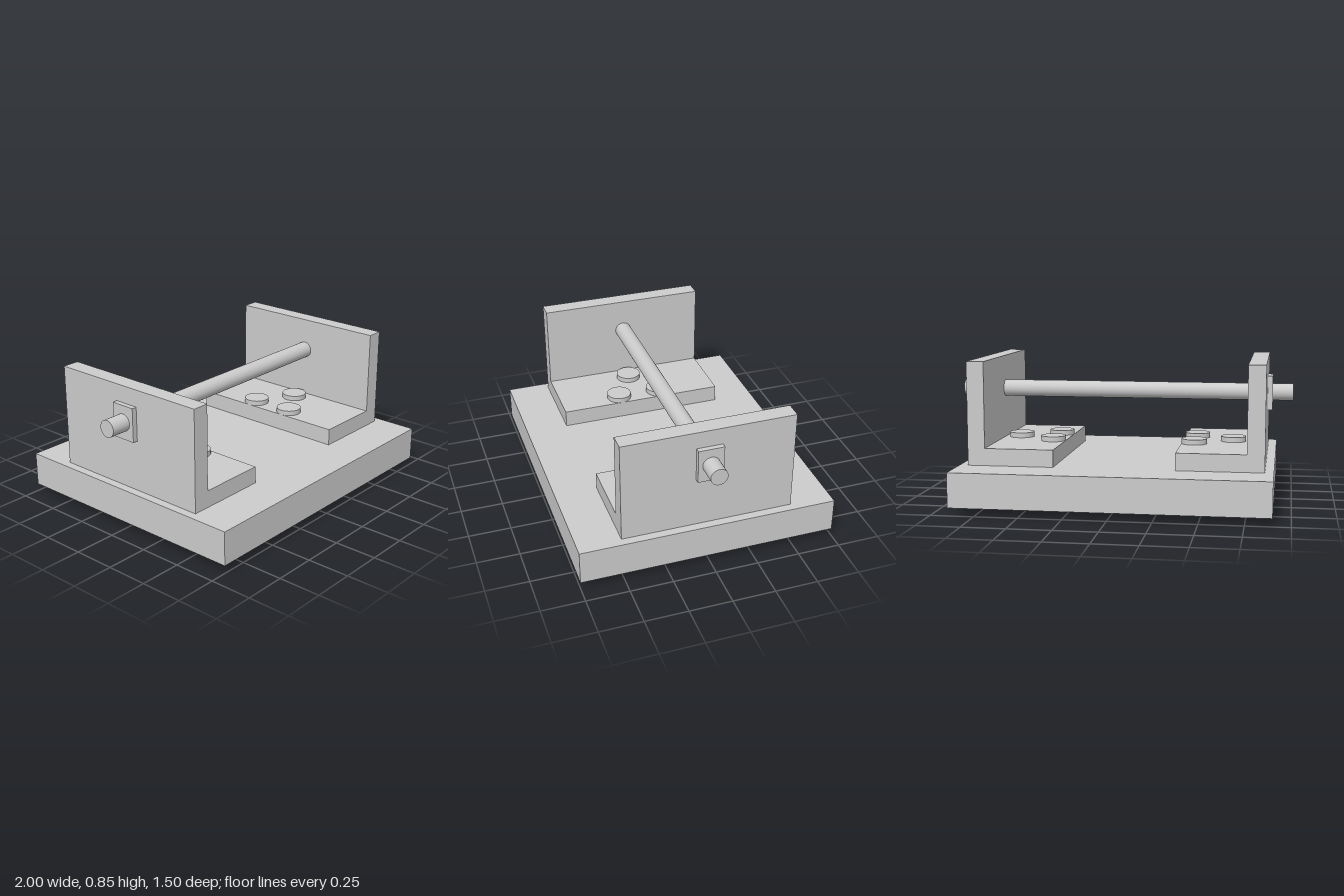
import * as THREE from 'three';

const material = new THREE.MeshStandardMaterial({ color: 0xcccccc });

function add(parent, name, geometry, x = 0, y = 0, z = 0) {
  const mesh = new THREE.Mesh(geometry, material);
  mesh.name = name;
  mesh.position.set(x, y, z);
  parent.add(mesh);
  return mesh;
}

// L-shaped profile (foot plus upright wall), extruded along z
function bracketGeometry() {
  const profile = new THREE.Shape([
    [0.35, 0.245], [0.85, 0.245], [0.85, 0.845],
    [0.75, 0.845], [0.75, 0.345], [0.35, 0.345],
  ].map(([x, y]) => new THREE.Vector2(x, y)));
  return new THREE.ExtrudeGeometry(profile, { depth: 1, bevelEnabled: false }).translate(0, 0, -0.5);
}

// Bolt with its round head above the foot and its nut under the base
function makeBolt(x, z) {
  const bolt = new THREE.Group();
  bolt.name = 'bolt';
  bolt.position.set(x, 0, z);
  add(bolt, 'boltHead', new THREE.CylinderGeometry(0.075, 0.075, 0.03, 48), 0, 0.36);
  add(bolt, 'boltShank', new THREE.CylinderGeometry(0.05, 0.05, 0.35, 48), 0, 0.175);
  add(bolt, 'nut', new THREE.BoxGeometry(0.2, 0.03, 0.15), 0, 0.03);
  return bolt;
}

// One side: bracket, rod retaining plate and three bolts
function makeSide(name) {
  const side = new THREE.Group();
  side.name = name;
  add(side, 'bracket', bracketGeometry());
  add(side, 'retainingPlate', new THREE.BoxGeometry(0.03, 0.2, 0.15), 0.865, 0.645);
  for (const [x, z] of [[0.425, 0.13], [0.425, -0.13], [0.65, 0]]) side.add(makeBolt(x, z));
  return side;
}

export function createModel() {
  const model = new THREE.Group();
  model.name = 'rodStand';

  add(model, 'base', new THREE.BoxGeometry(1.8, 0.2, 1.5), 0, 0.145);

  // The right side is the left one turned half way round
  const left = makeSide('leftSide');
  const right = makeSide('rightSide');
  right.rotation.y = Math.PI;
  model.add(left, right);

  // Rod through both walls
  add(model, 'rod', new THREE.CylinderGeometry(0.05, 0.05, 2, 48), 0, 0.645).rotation.z = Math.PI / 2;

  return model;
}
